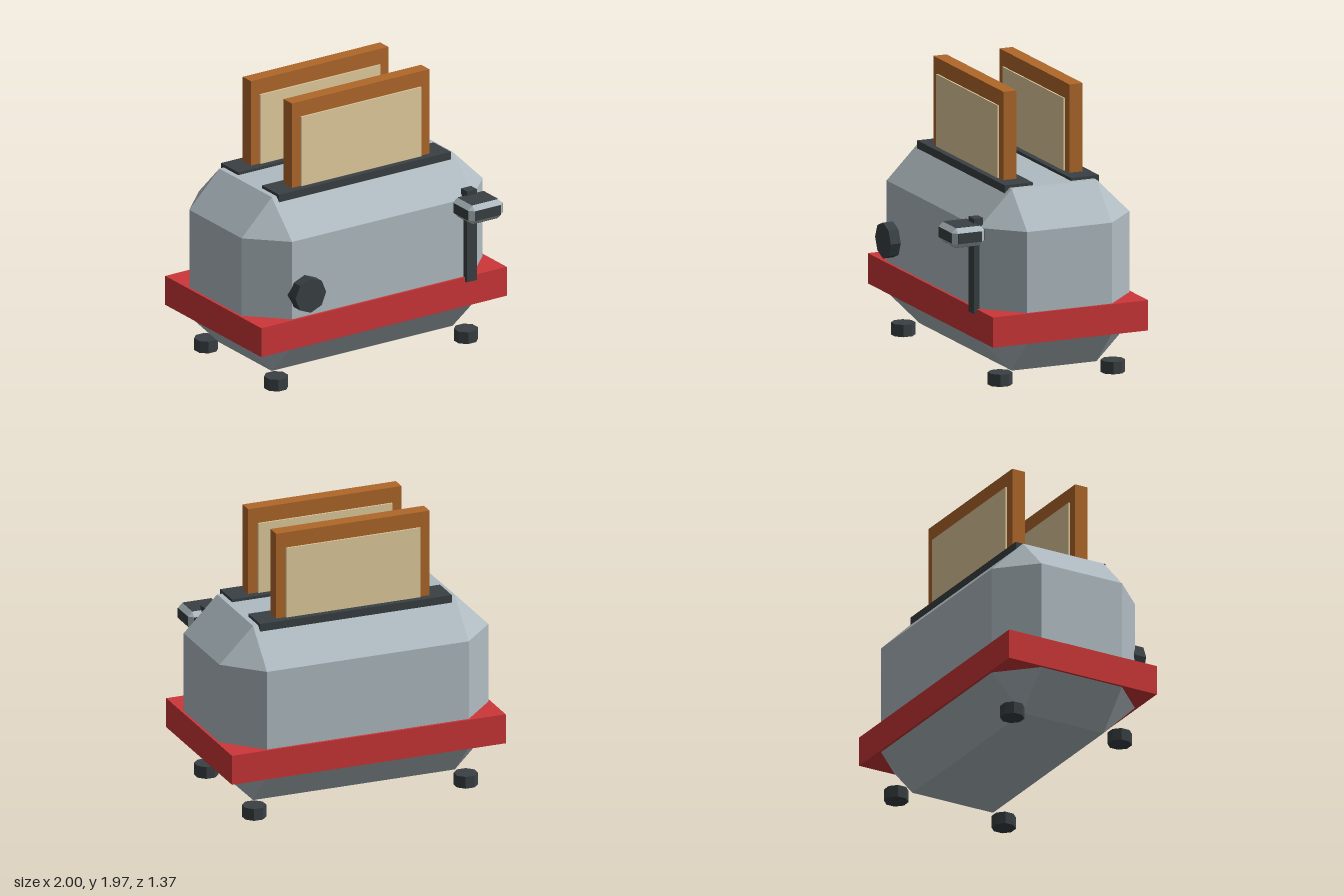
import * as THREE from 'three';
import { ConvexGeometry } from 'three/addons/geometries/ConvexGeometry.js';

const mat = (color) => new THREE.MeshStandardMaterial({ color, flatShading: true });

// Box with every edge cut at 45 degrees and triangular corners
function chamferedBox(w, h, d, c) {
  const pts = [];
  const [x, y, z] = [w / 2, h / 2, d / 2];
  for (const sx of [-1, 1]) for (const sy of [-1, 1]) for (const sz of [-1, 1]) {
    pts.push(new THREE.Vector3(sx * x, sy * (y - c), sz * (z - c)));
    pts.push(new THREE.Vector3(sx * (x - c), sy * y, sz * (z - c)));
    pts.push(new THREE.Vector3(sx * (x - c), sy * (y - c), sz * z));
  }
  return new ConvexGeometry(pts);
}

export function createModel() {
  const model = new THREE.Group();
  model.name = 'toaster';

  const metal = mat(0xb0bcc2);
  const dark = mat(0x394043);
  const red = mat(0xcd3638);
  const crust = mat(0xb0682a);
  const crumb = mat(0xe4ce9e);
  const midZ = -0.108;

  const add = (name, geometry, material, x, y, z, parent = model) => {
    const mesh = new THREE.Mesh(geometry, material);
    mesh.name = name;
    mesh.position.set(x, y, z);
    parent.add(mesh);
    return mesh;
  };
  const box = (w, h, d) => new THREE.BoxGeometry(w, h, d);

  // Body and the band around it
  add('body', chamferedBox(1.964, 1.262, 1.12, 0.245), metal, 0, 0.706, midZ);
  add('band', box(2, 0.21, 1.155), red, 0, 0.425, midZ);

  // Slots with a slice of bread in each
  for (const [side, s] of [['front', 1], ['back', -1]]) {
    const z = midZ + s * 0.246;
    add(side + 'Slot', box(1.4, 0.055, 0.208), dark, 0, 1.3295, z);
    const slice = new THREE.Group();
    slice.name = side + 'Bread';
    model.add(slice);
    add('crust', box(1.12, 0.87, 0.098), crust, 0, 1.535, z, slice);
    add('crumb', box(0.98, 0.76, 0.12), crumb, 0, 1.48, z, slice);
  }

  // Feet
  for (const sx of [-1, 1]) for (const sz of [-1, 1]) {
    const foot = add('foot', new THREE.CylinderGeometry(0.083, 0.083, 0.085, 8),
      dark, sx * 0.773, 0.0425, midZ + sz * 0.42);
    foot.rotation.y = Math.PI / 8;
  }

  // Browning knob
  const knob = add('knob', new THREE.CylinderGeometry(0.125, 0.125, 0.1, 8), dark, -0.635, 0.705, 0.477);
  knob.rotation.x = Math.PI / 2;

  // Lever track
  add('leverTrack', box(0.082, 0.66, 0.07), dark, 0.7, 0.83, 0.457);

  // Lever handle: pale bevels with dark flat faces
  const handle = new THREE.Group();
  handle.name = 'leverHandle';
  handle.position.set(0.7, 1.058, 0.565);
  model.add(handle);
  const [w, h, d, c, e] = [0.276, 0.136, 0.24, 0.032, 0.003];
  add('bevels', chamferedBox(w, h, d, c), metal, 0, 0, 0, handle);
  add('sideFaces', box(w + e, h - 2 * c, d - 2 * c), dark, 0, 0, 0, handle);
  add('topAndBottomFaces', box(w - 2 * c, h + e, d - 2 * c), dark, 0, 0, 0, handle);
  add('frontAndBackFaces', box(w - 2 * c, h - 2 * c, d + e), dark, 0, 0, 0, handle);

  return model;
}
